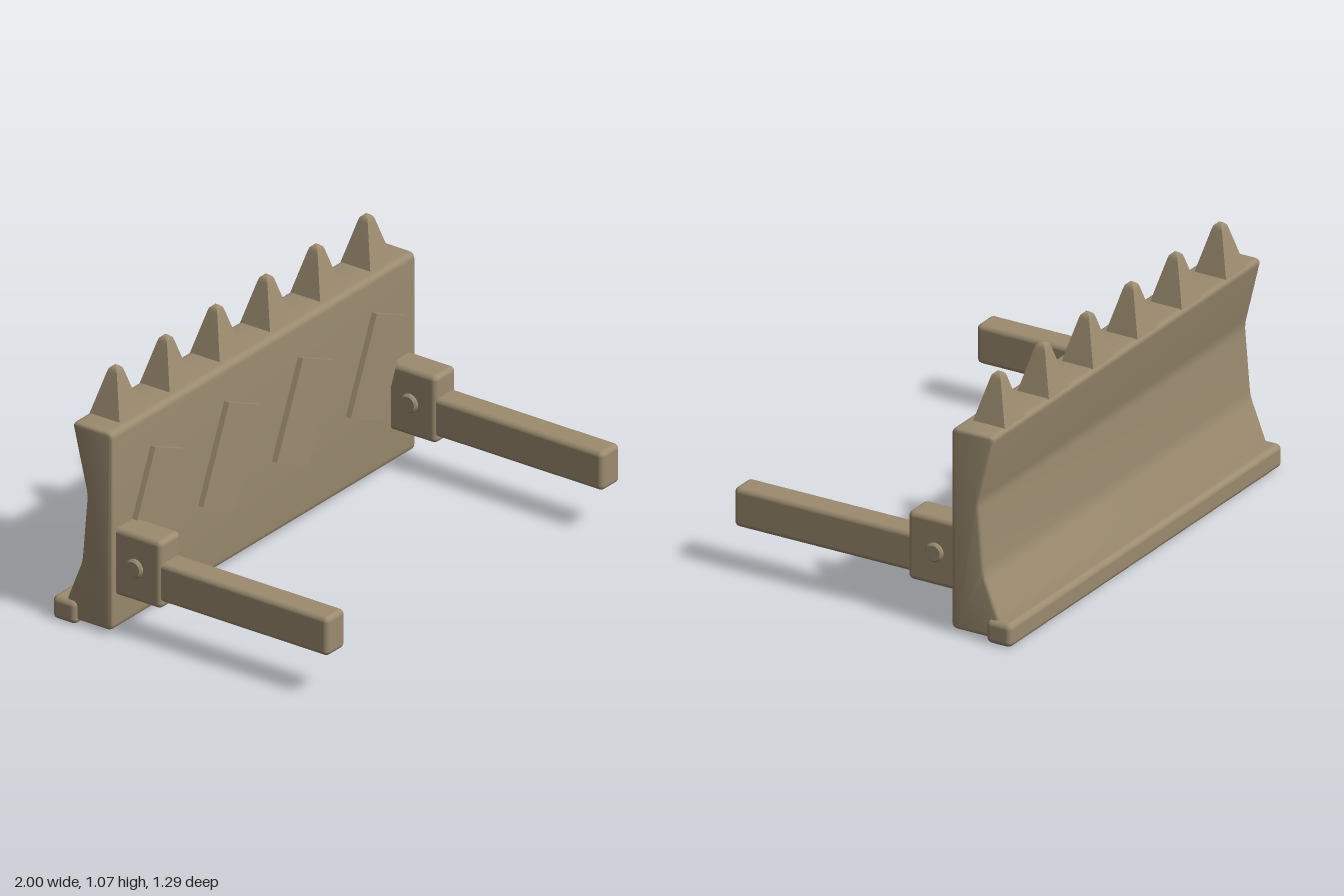
import * as THREE from 'three';
import { RoundedBoxGeometry } from 'three/addons/geometries/RoundedBoxGeometry.js';
import { toCreasedNormals } from 'three/addons/utils/BufferGeometryUtils.js';

const paint = new THREE.MeshStandardMaterial({ color: 0x9b8b6f });
paint.name = 'dusty tan';

function add(parent, name, geometry, x = 0, y = 0, z = 0) {
  const mesh = new THREE.Mesh(geometry, paint);
  mesh.name = name;
  mesh.position.set(x, y, z);
  parent.add(mesh);
  return mesh;
}

// Closed outline through the given corners, each rounded by radius r
function roundedOutline(corners, r) {
  const pts = corners.map(([x, y]) => new THREE.Vector2(x, y));
  const shape = new THREE.Shape();
  pts.forEach((p, i) => {
    const prev = pts[(i + pts.length - 1) % pts.length];
    const next = pts[(i + 1) % pts.length];
    const a = p.clone().add(prev.clone().sub(p).setLength(r));
    const b = p.clone().add(next.clone().sub(p).setLength(r));
    if (i === 0) shape.moveTo(a.x, a.y);
    else shape.lineTo(a.x, a.y);
    shape.quadraticCurveTo(p.x, p.y, b.x, b.y);
  });
  shape.closePath();
  return shape;
}

// Blade: hollow-backed side profile (z, y) extruded across the width
function bladeGeometry() {
  const profile = roundedOutline([
    [-0.365, 0.02], [-0.365, 0.872], [-0.56, 0.872], [-0.488, 0.575],
    [-0.513, 0.28], [-0.588, 0.09], [-0.588, 0.02],
  ], 0.028);
  const bevel = 0.014, width = 1.968;
  const geo = new THREE.ExtrudeGeometry(profile, {
    depth: width - 2 * bevel, curveSegments: 5, bevelEnabled: true,
    bevelSize: bevel, bevelThickness: bevel, bevelOffset: -bevel, bevelSegments: 3,
  });
  geo.translate(0, 0, -width / 2 + bevel);
  geo.rotateY(-Math.PI / 2);
  return toCreasedNormals(geo, 0.65);
}

// Four-sided spike with a blunt, rounded tip
function spikeGeometry() {
  const points = [[0.075, -0.01], [0.072, 0], [0.024, 0.175], [0.019, 0.19], [0.009, 0.199], [0, 0.2]]
    .map(([half, y]) => new THREE.Vector2(half * Math.SQRT2, y));
  return toCreasedNormals(new THREE.LatheGeometry(points, 4, Math.PI / 4), 0.7);
}

// Pivot pin with chamfered ends, lying along x
function pinGeometry() {
  const points = [[0, -0.083], [0.032, -0.083], [0.04, -0.075], [0.04, 0.075], [0.032, 0.083], [0, 0.083]]
    .map(([r, y]) => new THREE.Vector2(r, y));
  const geo = new THREE.LatheGeometry(points, 24);
  geo.rotateZ(Math.PI / 2);
  return toCreasedNormals(geo, 0.6);
}

export function createModel() {
  const model = new THREE.Group();
  model.name = 'dozerBlade';

  add(model, 'blade', bladeGeometry());
  add(model, 'cuttingEdge', new RoundedBoxGeometry(2, 0.1, 0.116, 4, 0.024), 0, 0.052, -0.587);

  // Row of spikes along the top
  const spike = spikeGeometry();
  for (let i = 0; i < 6; i++) add(model, 'spike', spike, (i - 2.5) * 0.325, 0.87, -0.475);

  // Slanted plates on the front face
  const plate = new THREE.BoxGeometry(0.224, 0.42, 0.035);
  for (let i = 0; i < 4; i++) {
    add(model, 'slantedPlate', plate, (i - 1.5) * 0.478, 0.488, -0.358).rotation.z = -0.415;
  }

  // Mirrored brackets, pins and push arms
  const bracket = new RoundedBoxGeometry(0.134, 0.29, 0.25, 4, 0.022);
  const arm = new RoundedBoxGeometry(0.118, 0.167, 0.83, 4, 0.022);
  const pin = pinGeometry();
  for (const side of [-1, 1]) {
    const mount = new THREE.Group();
    mount.name = side > 0 ? 'leftMount' : 'rightMount';
    add(mount, 'bracket', bracket, side * 0.89, 0.311, -0.275);
    add(mount, 'pivotPin', pin, side * 0.89, 0.311, -0.275);
    add(mount, 'pushArm', arm, side * 0.89, 0.278, 0.23);
    model.add(mount);
  }
  return model;
}
